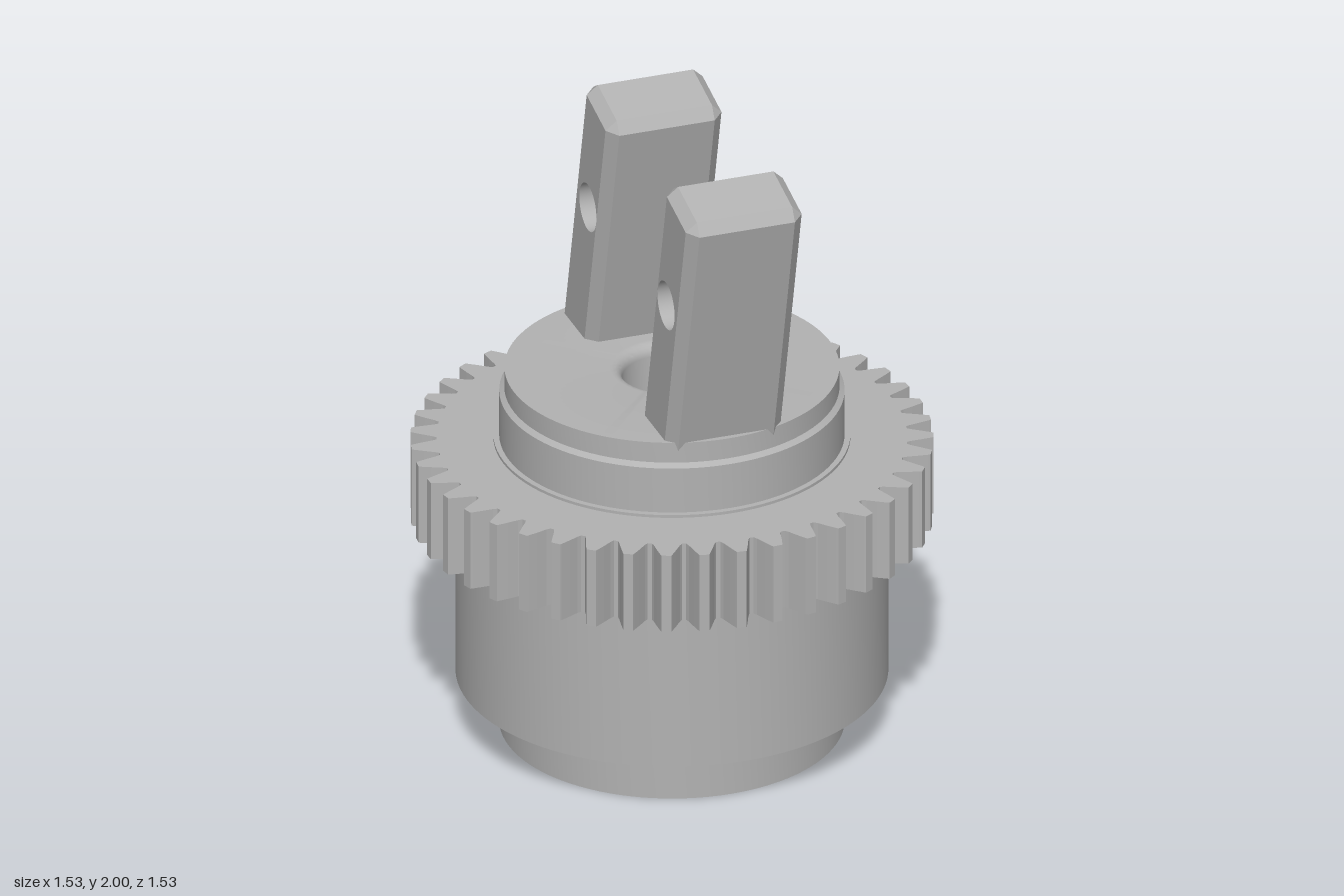
import * as THREE from 'three';
import { toCreasedNormals } from 'three/addons/utils/BufferGeometryUtils.js';

const TEETH = 43;
const HALF_X = 0.18, HALF_Z = 0.116, TOP = 0.843, BOTTOM = -0.07, CHAMFER = 0.032;
const HOLE_R = 0.074, HOLE_Y = 0.46;

// Stepped, bored hub turned from one closed profile
function hubGeometry() {
  const bore = 0.146, round = 0.036, height = 1.16;
  const points = [];
  const add = (x, y) => points.push(new THREE.Vector2(x, y));
  const arc = (y0, from) => {
    for (let i = 0; i <= 6; i++) {
      const a = from + (i / 6) * (Math.PI / 2);
      add(bore + round + Math.cos(a) * round, y0 + Math.sin(a) * round);
    }
  };
  arc(round, Math.PI);
  [[0.505, 0], [0.505, 0.16], [0.522, 0.16], [0.522, 0.17], [0.633, 0.17], [0.633, 0.7],
    [0.505, 0.7], [0.505, 1.083], [0.49, 1.095], [0.49, height]].forEach(([x, y]) => add(x, y));
  arc(height - round, Math.PI / 2);
  add(bore, round);
  return toCreasedNormals(new THREE.LatheGeometry(points, 96), 0.5);
}

// Toothed ring with tapering teeth
function gearGeometry() {
  const shape = new THREE.Shape();
  const tooth = [[0.688, -0.064], [0.7, -0.054], [0.73, -0.038], [0.758, -0.023],
    [0.765, -0.019], [0.765, 0.019], [0.758, 0.023], [0.73, 0.038], [0.7, 0.054], [0.688, 0.064]];
  for (let i = 0; i < TEETH; i++) {
    const mid = Math.PI / 2 + (i / TEETH) * Math.PI * 2;
    tooth.forEach(([r, a], k) => {
      const x = r * Math.cos(mid + a), y = r * Math.sin(mid + a);
      if (i === 0 && k === 0) shape.moveTo(x, y);
      else shape.lineTo(x, y);
    });
  }
  shape.closePath();
  shape.holes.push(new THREE.Path().absarc(0, 0, 0.5, 0, Math.PI * 2, true));
  const geometry = new THREE.ExtrudeGeometry(shape, { depth: 0.25, bevelEnabled: false, curveSegments: 48 });
  return geometry.rotateX(-Math.PI / 2).translate(0, 0.68, 0);
}

// Chamfered edges and long faces of a prong, lofted through four rings along x
function prongShell() {
  const w = HALF_Z, c = CHAMFER, n = w - c;
  const full = [[w, BOTTOM], [w, TOP - c], [n, TOP], [-n, TOP], [-w, TOP - c], [-w, BOTTOM]];
  const inset = [[n, BOTTOM], [n, TOP - c], [n, TOP - c], [-n, TOP - c], [-n, TOP - c], [-n, BOTTOM]];
  const rings = [[-HALF_X, inset], [-HALF_X + c, full], [HALF_X - c, full], [HALF_X, inset]];
  const positions = [];
  for (let r = 0; r < 3; r++) {
    const [x0, p] = rings[r], [x1, q] = rings[r + 1];
    for (let i = 0; i < 6; i++) {
      const j = (i + 1) % 6;
      const a = [x0, p[i][1], p[i][0]], b = [x0, p[j][1], p[j][0]];
      const d = [x1, q[i][1], q[i][0]], e = [x1, q[j][1], q[j][0]];
      positions.push(...a, ...d, ...e, ...a, ...e, ...b);
    }
  }
  const geometry = new THREE.BufferGeometry();
  geometry.setAttribute('position', new THREE.Float32BufferAttribute(positions, 3));
  geometry.computeVertexNormals();
  return geometry;
}

// Flat end face of a prong with the pin hole, facing +x or -x
function prongSide(side, holeZ) {
  const n = HALF_Z - CHAMFER, top = TOP - CHAMFER;
  const shape = new THREE.Shape();
  shape.moveTo(-n, BOTTOM).lineTo(n, BOTTOM).lineTo(n, top).lineTo(-n, top).closePath();
  shape.holes.push(new THREE.Path().absarc(-side * holeZ, HOLE_Y, HOLE_R, 0, Math.PI * 2, true));
  return new THREE.ShapeGeometry(shape, 20).rotateY(side * Math.PI / 2).translate(side * HALF_X, 0, 0);
}

export function createModel() {
  const model = new THREE.Group();
  model.name = 'gearHub';
  const metal = new THREE.MeshStandardMaterial({ color: 0xb2b2b2 });
  metal.name = 'greyMetal';
  const boreMetal = metal;
  boreMetal.side = THREE.DoubleSide;

  const add = (parent, name, geometry) => {
    const mesh = new THREE.Mesh(geometry, metal);
    mesh.name = name;
    parent.add(mesh);
    return mesh;
  };

  add(model, 'hub', hubGeometry());
  add(model, 'gearRing', gearGeometry());
  // Thin lip where the upper collar meets the gear
  add(model, 'collarLip', new THREE.CylinderGeometry(0.522, 0.522, 0.01, 96, 1, true).translate(0, 0.934, 0));
  add(model, 'collarLipTop', new THREE.RingGeometry(0.5, 0.522, 96).rotateX(-Math.PI / 2).translate(0, 0.939, 0));

  // Two leaning prongs with cross holes
  for (const [name, z, holeZ] of [['frontProng', 0.354, -0.008], ['backProng', -0.341, 0.01]]) {
    const prong = new THREE.Group();
    prong.name = name;
    prong.position.set(0, 1.16, z);
    prong.rotation.x = 0.232;
    add(prong, name + 'Body', prongShell());
    add(prong, name + 'LeftFace', prongSide(1, holeZ));
    add(prong, name + 'RightFace', prongSide(-1, holeZ));
    const hole = new THREE.CylinderGeometry(HOLE_R, HOLE_R, HALF_X * 2, 40, 1, true);
    add(prong, name + 'PinHole', hole.rotateZ(Math.PI / 2).translate(0, HOLE_Y, holeZ));
    model.add(prong);
  }
  return model;
}
